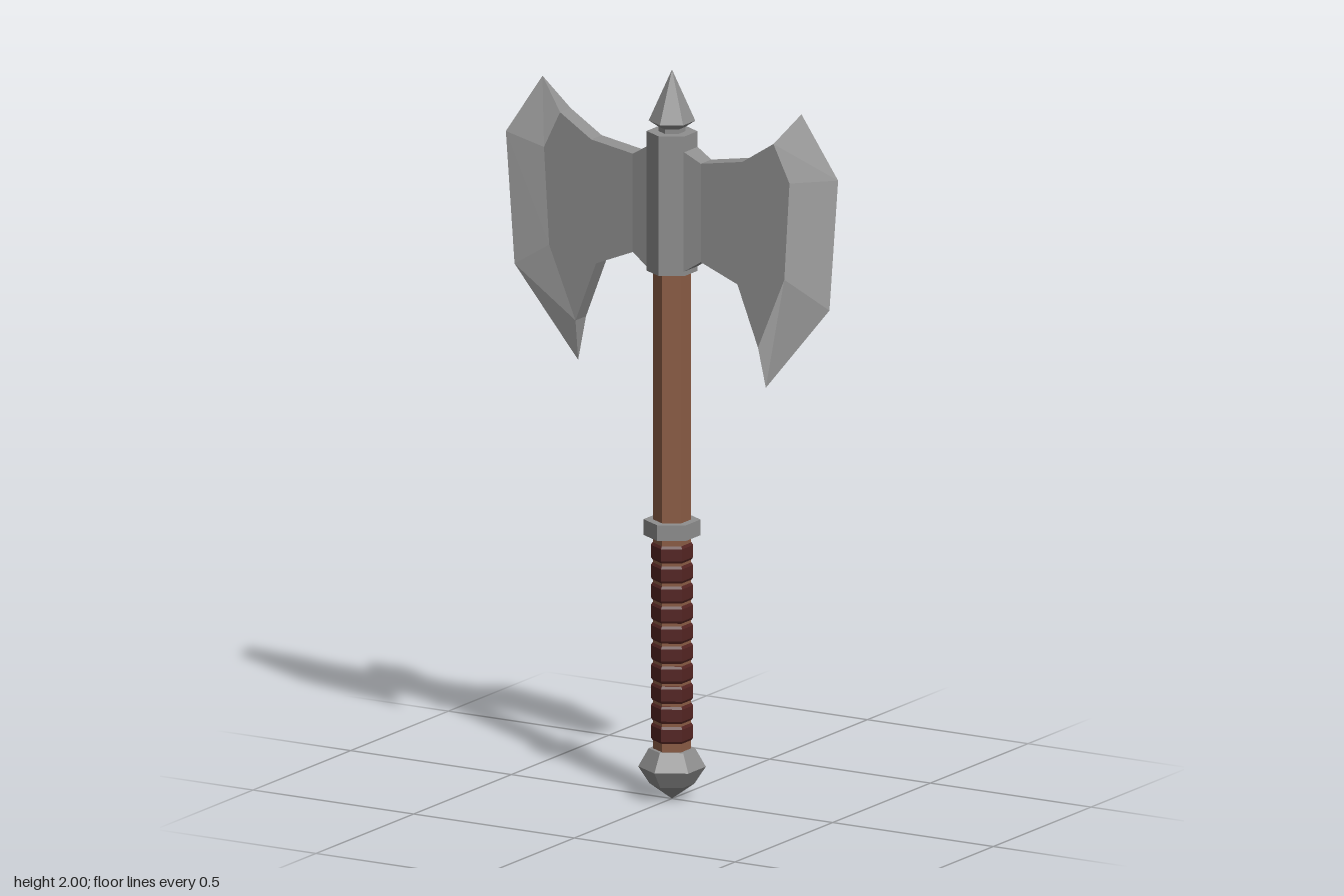
import * as THREE from 'three';

const steel = new THREE.MeshStandardMaterial({ color: 0x8f8f8f, flatShading: true });
steel.name = 'steel';
const edgeSteel = new THREE.MeshStandardMaterial({ color: 0xb4b4b4, flatShading: true });
edgeSteel.name = 'bright edge steel';
const wood = new THREE.MeshStandardMaterial({ color: 0x8c5d45, flatShading: true });
wood.name = 'wood';
const leather = new THREE.MeshStandardMaterial({ color: 0x552523, flatShading: true });
leather.name = 'leather';

function addMesh(parent, name, geometry, material) {
  const mesh = new THREE.Mesh(geometry, material);
  mesh.name = name;
  parent.add(mesh);
  return mesh;
}

// Six-sided turned part from [radius, y] points, bottom to top
function hexPart(parent, name, profile, material) {
  const points = profile.map(([r, y]) => new THREE.Vector2(r, y));
  const geometry = new THREE.LatheGeometry(points, 6).toNonIndexed();
  geometry.computeVertexNormals();
  return addMesh(parent, name, geometry, material);
}

// Quads and triangles, counter-clockwise from outside
function polygons(faces) {
  const pos = [];
  for (const f of faces) {
    for (let i = 1; i < f.length - 1; i++) pos.push(...f[0], ...f[i], ...f[i + 1]);
  }
  const geometry = new THREE.BufferGeometry();
  geometry.setAttribute('position', new THREE.Float32BufferAttribute(pos, 3));
  geometry.computeVertexNormals();
  return geometry;
}

// One blade, reaching towards +x
function makeBlade() {
  const blade = new THREE.Group();
  const t = 0.027;
  // Outline rows of the thick body, from socket to cutting bevel
  const top = [[0.05, 1.793, 0.036], [0.106, 1.761, t], [0.235, 1.783, t], [0.332, 1.845, t]];
  const bottom = [[0.05, 1.455, 0.036], [0.106, 1.491, t], [0.22, 1.445, t], [0.284, 1.28, t]];
  // Start of the bevel and the sharp edge beyond it
  const bevel = [top[3], [0.382, 1.743, t], [0.366, 1.477, t], bottom[3]];
  const edge = [[0.403, 1.93, 0], [0.517, 1.763, 0], [0.49, 1.403, 0], [0.292, 1.165, 0]];
  const back = ([x, y, z]) => [x, y, -z];
  const body = [];
  const sharp = [];
  const bothSides = (list, face) => list.push(face, face.map(back).reverse());

  for (let i = 0; i < 3; i++) {
    bothSides(body, [top[i], bottom[i], bottom[i + 1], top[i + 1]]);
    body.push([top[i], top[i + 1], back(top[i + 1]), back(top[i])]);
    body.push([bottom[i + 1], bottom[i], back(bottom[i]), back(bottom[i + 1])]);
    bothSides(sharp, [bevel[i], bevel[i + 1], edge[i + 1], edge[i]]);
  }
  bothSides(body, [bevel[0], bevel[3], bevel[2], bevel[1]]);
  // Ends where the thick body narrows to the horn tips
  body.push([top[3], edge[0], back(top[3])]);
  body.push([bottom[3], back(bottom[3]), edge[3]]);

  addMesh(blade, 'bladeBody', polygons(body), steel);
  addMesh(blade, 'cuttingEdge', polygons(sharp), edgeSteel);
  return blade;
}

export function createModel() {
  const axe = new THREE.Group();
  axe.name = 'doubleAxe';

  // Handle
  hexPart(axe, 'pommel', [[0, 0], [0.06, 0.042], [0.09, 0.088], [0.062, 0.138], [0, 0.138]], steel);
  hexPart(axe, 'shaft', [[0, 0.1], [0.051, 0.1], [0.051, 1.5], [0, 1.5]], wood);
  hexPart(axe, 'collar', [[0.045, 0.723], [0.076, 0.723], [0.076, 0.766], [0.045, 0.766]], steel);

  // Leather wraps
  const grip = new THREE.Group();
  grip.name = 'grip';
  axe.add(grip);
  for (let i = 0; i < 10; i++) {
    const y = 0.161 + i * 0.055;
    hexPart(grip, 'wrap', [[0.045, y], [0.052, y], [0.0565, y + 0.007],
      [0.0565, y + 0.04], [0.052, y + 0.047], [0.045, y + 0.047]], leather);
  }

  // Head
  hexPart(axe, 'socket', [[0, 1.448], [0.068, 1.448], [0.068, 1.831], [0, 1.831]], steel);
  hexPart(axe, 'topSpike', [[0.036, 1.825], [0.036, 1.843], [0.062, 1.86], [0, 2]], steel);
  const leftBlade = makeBlade();
  leftBlade.name = 'leftBlade';
  const rightBlade = makeBlade();
  rightBlade.name = 'rightBlade';
  rightBlade.rotation.y = Math.PI;
  axe.add(leftBlade, rightBlade);

  return axe;
}
